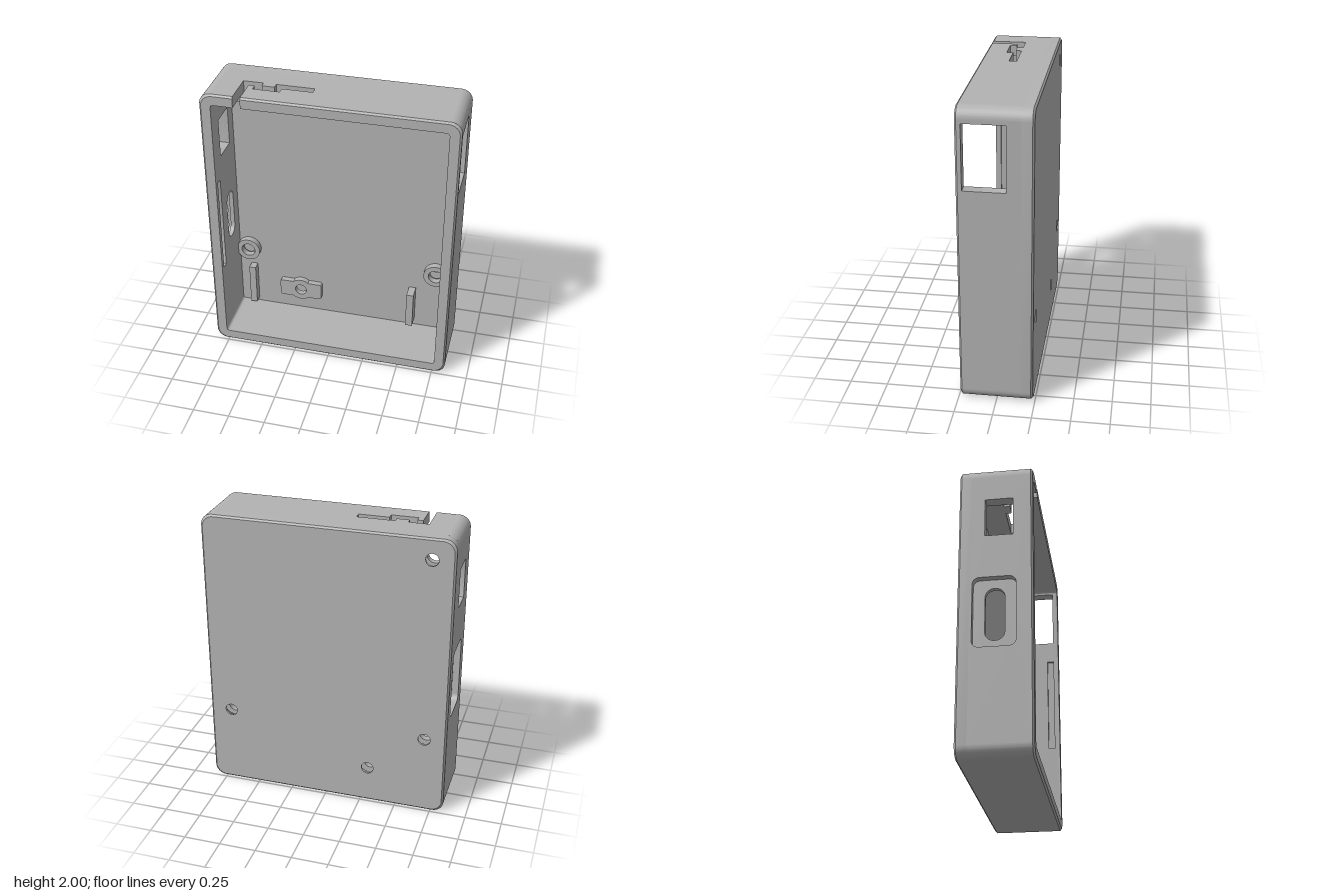
import * as THREE from 'three';
import { toCreasedNormals } from 'three/addons/utils/BufferGeometryUtils.js';

const HW = 0.84, WALL = 0.075, IN = HW - WALL;      // half width, wall, cavity half width
const BACK = -0.2375, FRONT = 0.2375, FLOOR = -0.16; // z levels
const C = 0.012;                                     // edge chamfer
const RIM = FRONT - C;
const DRILL = 0.042;
const bossSpots = [[-0.69, 1.86], [-0.69, 0.565], [0.69, 0.565]];
const plateSpot = [-0.3, 0.265];

const V = (x, y) => new THREE.Vector2(x, y);
const poly = pts => new THREE.Shape(pts.map(p => V(p[0], p[1])));
const circle = (x, y, r) => new THREE.Path().absarc(x, y, r, 0, Math.PI * 2, true);

// Clockwise rounded rectangle, starting at the top right corner
function roundRect(x0, x1, y0, y1, r, n = 8) {
  const pts = [];
  const corners = [[x1 - r, y1 - r], [x1 - r, y0 + r], [x0 + r, y0 + r], [x0 + r, y1 - r]];
  corners.forEach(([cx, cy], k) => {
    for (let i = 0; i <= n; i++) {
      const a = Math.PI / 2 * (1 - k - i / n);
      pts.push(V(cx + r * Math.cos(a), cy + r * Math.sin(a)));
    }
  });
  return pts;
}

const extrude = (shape, depth) =>
  new THREE.ExtrudeGeometry(shape, { depth, bevelEnabled: false, curveSegments: 16 });

// Pull the outer edge inward on one z face to form a chamfer
function chamfer(geo, zFace) {
  const p = geo.attributes.position;
  for (let i = 0; i < p.count; i++) {
    if (Math.abs(p.getZ(i) - zFace) > 1e-4) continue;
    const x = p.getX(i), y = p.getY(i);
    if (Math.abs(x) > IN + 0.001) p.setX(i, x * (1 - C / HW));
    if (Math.abs(y - 1) > 1 - WALL + 0.001) p.setY(i, 1 + (y - 1) * (1 - C));
  }
  return geo;
}

export function createModel() {
  const group = new THREE.Group();
  const grey = new THREE.MeshStandardMaterial({ color: 0xb3b3b3 });
  grey.name = 'grey plastic';

  const add = (name, geo, x = 0, y = 0, z = 0) => {
    const mesh = new THREE.Mesh(toCreasedNormals(geo, 0.5), grey);
    mesh.name = name;
    mesh.position.set(x, y, z);
    group.add(mesh);
    return mesh;
  };

  // Back panel with drilled holes and a chamfered rear edge
  const panel = new THREE.Shape(roundRect(-HW, HW, 0, 2, WALL));
  [...bossSpots, plateSpot].forEach(([x, y]) => panel.holes.push(circle(x, y, DRILL)));
  add('backPanelEdge', chamfer(extrude(panel, C), 0), 0, 0, BACK);
  add('backPanel', extrude(panel, FLOOR - BACK - C), 0, 0, BACK + C);

  // Rounded corner columns with a small inner fillet
  const pie = new THREE.Shape().moveTo(0, 0).lineTo(WALL, 0).absarc(0, 0, WALL, 0, Math.PI / 2, false);
  const fillet = new THREE.Shape().moveTo(0, 0).lineTo(-0.02, 0).quadraticCurveTo(0, 0, 0, -0.02);
  [[1, 1], [-1, 1], [-1, -1], [1, -1]].forEach(([sx, sy], k) => {
    const column = add('cornerColumn', extrude([pie, fillet], RIM - FLOOR), sx * IN, 1 + sy * (1 - WALL), FLOOR);
    column.rotation.z = k * Math.PI / 2;
  });

  // Side walls, layered in depth so recesses and grooves are real
  const sideLayer = (name, xMax, depth, holes) => {
    const s = poly([[FLOOR, WALL], [RIM, WALL], [RIM, 2 - WALL], [FLOOR, 2 - WALL]]);
    holes.forEach(h => s.holes.push(new THREE.Path(roundRect(...h))));
    add(name, extrude(s, depth).rotateY(-Math.PI / 2), xMax);
  };
  const sq = 0.001;
  const groove = [0.155, 0.2, 0.62, 1.32, sq];
  const smallPort = [-0.07, 0.11, 1.48, 1.75, sq];
  const largePort = [-0.07, 0.2, 1.475, 1.9, sq];
  const recess = [-0.145, 0.13, 0.7, 1.18, 0.045];
  const pill = [-0.07, 0.055, 0.76, 1.12, 0.06];
  sideLayer('rightWallOuter', -0.795, 0.045, [smallPort, recess]);
  sideLayer('rightWallMiddle', -0.785, 0.01, [smallPort, pill]);
  sideLayer('rightWallInner', -IN, 0.02, [smallPort, pill, groove]);
  sideLayer('leftWallOuter', HW, 0.055, [largePort]);
  sideLayer('leftWallInner', 0.785, 0.02, [largePort, groove]);

  // Top wall with a stepped cable slot that opens at the front
  const top = poly([
    [-IN, FLOOR], [IN, FLOOR], [IN, RIM], [-0.565, RIM], [-0.565, 0.05], [-0.525, 0.05],
    [-0.525, 0.095], [-0.345, 0.095], [-0.345, 0.05], [-0.14, 0.05], [-0.14, 0], [-0.395, 0],
    [-0.395, 0.04], [-0.48, 0.04], [-0.48, 0], [-0.615, 0], [-0.615, RIM], [-IN, RIM]]);
  add('topWall', extrude(top, WALL).rotateX(Math.PI / 2), 0, 2, 0);

  // Bottom wall
  add('bottomWall', new THREE.BoxGeometry(2 * IN, WALL, RIM - FLOOR), 0, WALL / 2, (RIM + FLOOR) / 2);

  // Chamfered front rim, broken by the slot
  const outer = [V(-0.565, 2), ...roundRect(-HW, HW, 0, 2, WALL), V(-0.615, 2)];
  const inner = [V(-0.565, 2 - WALL), ...roundRect(-IN, IN, WALL, 2 - WALL, 0.02), V(-0.615, 2 - WALL)];
  const rim = new THREE.Shape([...outer, ...inner.reverse()]);
  add('frontRim', chamfer(extrude(rim, C), C), 0, 0, RIM);

  // Screw bosses
  bossSpots.forEach(([x, y]) => {
    const ring = new THREE.Shape().absarc(0, 0, 0.085, 0, Math.PI * 2, false);
    ring.holes.push(circle(0, 0, 0.05));
    add('screwBoss', extrude(ring, 0.045), x, y, FLOOR);
  });

  // Mounting plate with a round bulge about its hole
  const h = 0.065, w = 0.155, r = 0.085, e = 0.02, a = Math.asin(h / r);
  const plate = new THREE.Shape()
    .moveTo(w, -h + e).lineTo(w, h - e).quadraticCurveTo(w, h, w - e, h)
    .absarc(0, 0, r, a, Math.PI - a, false)
    .lineTo(-w + e, h).quadraticCurveTo(-w, h, -w, h - e)
    .lineTo(-w, -h + e).quadraticCurveTo(-w, -h, -w + e, -h)
    .absarc(0, 0, r, Math.PI + a, 2 * Math.PI - a, false)
    .lineTo(w - e, -h).quadraticCurveTo(w, -h, w, -h + e);
  plate.holes.push(circle(0, 0, DRILL));
  add('mountingPlate', extrude(plate, 0.04), plateSpot[0], plateSpot[1], FLOOR);

  // Upright locating ribs on the floor of the cavity
  [[-0.685, -0.637, 0.105, 0.42, 0.06], [0.5, 0.55, 0.135, 0.41, 0.1]].forEach(([x0, x1, y0, y1, d]) =>
    add('locatingRib', new THREE.BoxGeometry(x1 - x0, y1 - y0, d), (x0 + x1) / 2, (y0 + y1) / 2, FLOOR + d / 2));

  return group;
}
